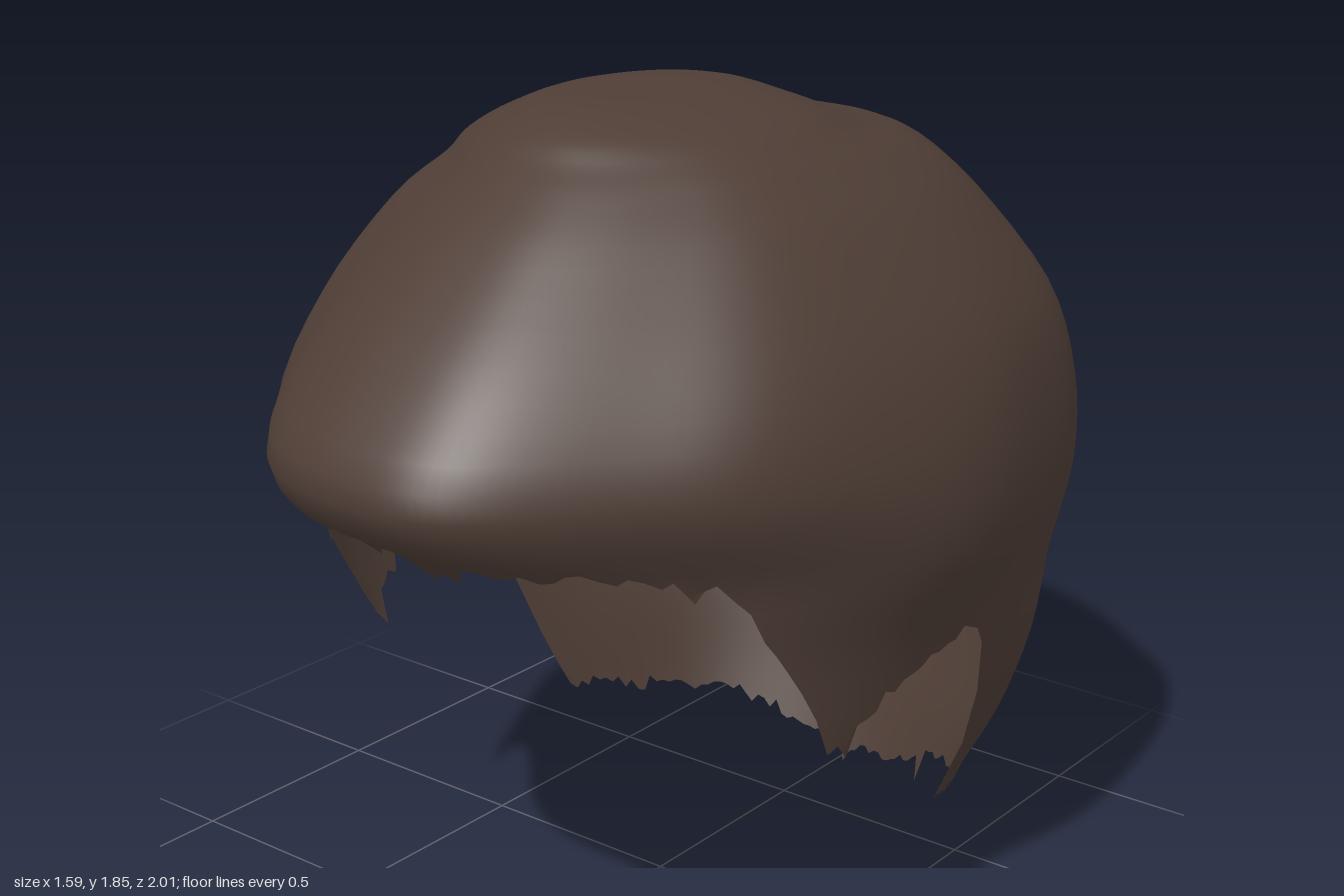
import * as THREE from 'three';

// horizontal sections from crown to nape: y, half width, front z, back z, centre z, centre x
const LEVELS = [
  [1.845, 0, 0.02, 0.02, 0.02, -0.02],
  [1.84, 0.16, 0.25, -0.2, 0.02, -0.02],
  [1.8, 0.3, 0.38, -0.32, 0, 0],
  [1.75, 0.39, 0.45, -0.46, 0, 0],
  [1.7, 0.45, 0.52, -0.66, -0.03, 0.01],
  [1.6, 0.57, 0.65, -0.79, -0.06, 0],
  [1.4, 0.72, 0.87, -0.91, -0.1, 0],
  [1.2, 0.785, 1.0, -0.97, -0.1, 0],
  [1.0, 0.79, 0.84, -1.0, -0.1, 0],
  [0.8, 0.735, 0.79, -0.98, -0.13, 0],
  [0.6, 0.68, 0.75, -0.94, -0.18, 0.015],
  [0.4, 0.61, 0.7, -0.87, -0.2, 0.025],
  [0.2, 0.53, 0.6, -0.8, -0.22, 0.01],
  [0.0, 0.48, 0.5, -0.73, -0.24, 0.02],
];

// hem height by angle from the front: fringe, sideburn, ear arch, nape
const HEM = [
  [0, 1.1], [20, 1.07], [35, 1.05], [47, 1.02], [52, 0.9], [57, 0.75], [62, 0.6],
  [70, 0.66], [78, 0.72], [90, 0.77], [94, 0.7], [97, 0.4], [100, 0.23],
  [120, 0.18], [145, 0.14], [160, 0.07], [180, 0.05],
];

// swellings and flats of the outline: angle, spread, amount
const LOBES = [[-37, 17, -0.06], [16, 11, 0.025], [42, 14, -0.03], [125, 20, 0.045]];

const bell = (v, centre, spread) => Math.exp(-(((v - centre) / spread) ** 2));

// smooth interpolation of one column of the section table
function section(s, k) {
  const n = LEVELS.length - 1;
  const i = Math.min(n - 1, Math.floor(s));
  const f = s - i;
  const at = (j) => LEVELS[Math.max(0, Math.min(n, j))][k];
  const [a, b, c, d] = [at(i - 1), at(i), at(i + 1), at(i + 2)];
  return b + 0.5 * f * (c - a + f * (2 * a - 5 * b + 4 * c - d + f * (3 * (b - c) + d - a)));
}

function levelOf(y) {
  let i = 0;
  while (i < LEVELS.length - 2 && LEVELS[i + 1][0] > y) i++;
  return i + (LEVELS[i][0] - y) / (LEVELS[i][0] - LEVELS[i + 1][0]);
}

function hemHeight(deg) {
  // the right side hangs a little further forward
  const a = deg < 0 ? Math.min(180, 4 - deg) : deg;
  let i = 0;
  while (i < HEM.length - 2 && HEM[i + 1][0] < a) i++;
  const y = THREE.MathUtils.mapLinear(a, HEM[i][0], HEM[i + 1][0], HEM[i][1], HEM[i + 1][1]);
  // and is cut slightly higher at fringe and nape
  return y + 0.05 * bell(deg, -18, 14) + 0.04 * bell(deg, -155, 12);
}

function makeRandom(seed) {
  return () => {
    seed = (seed * 16807) % 2147483647;
    return seed / 2147483647;
  };
}

function shellPoint(deg, s) {
  const theta = THREE.MathUtils.degToRad(deg);
  const c = Math.cos(theta);
  const sn = Math.sin(theta);
  const [y, w, zf, zb, zc, xc] = [0, 1, 2, 3, 4, 5].map((k) => section(s, k));
  // outline lobes, gentle lumps and a soft groove behind the left ear
  let swell = sn * sn * (0.007 * Math.sin(5 * theta + 7 * y) + 0.005 * Math.sin(9 * theta - 5 * y));
  for (const [centre, spread, amount] of LOBES) swell += amount * bell(deg, centre, spread);
  swell -= 0.025 * bell(deg, 140, 9) * bell(y, 1.45, 0.3);
  const r = 1 + Math.min(1, s / 6) * swell;
  // sideburns hang nearly straight down, so lower front sections are squarer
  const square = c > 0 ? THREE.MathUtils.clamp((1.0 - y) / 0.4, 0, 1) * 0.45 : 0;
  const side = Math.sign(sn) * Math.abs(sn) ** (1 - square);
  return [xc + w * side * r, y, zc + (c > 0 ? zf - zc : zc - zb) * c * r];
}

function hairGeometry(cols = 200, rows = 52) {
  const random = makeRandom(1234);
  const pos = [LEVELS[0][5], LEVELS[0][0], LEVELS[0][2]];
  const index = [];
  const last = LEVELS.length - 1;
  for (let i = 0; i < cols; i++) {
    const deg = (i / cols) * 360 - 180;
    // ragged strand ends: each column stops at its own height
    const spike = random() < 0.1 ? -0.05 : 0;
    const end = levelOf(Math.max(0, hemHeight(deg) + (random() - 0.5) * 0.035 + spike));
    for (let j = 1; j <= rows; j++) pos.push(...shellPoint(deg, Math.min(end, (last * j) / rows)));
  }
  const id = (i, j) => (j === 0 ? 0 : 1 + (i % cols) * rows + j - 1);
  for (let i = 0; i < cols; i++) {
    index.push(0, id(i, 1), id(i + 1, 1));
    for (let j = 1; j < rows; j++) {
      const [a, b, c, d] = [id(i, j), id(i, j + 1), id(i + 1, j + 1), id(i + 1, j)];
      index.push(a, b, c, a, c, d);
    }
  }
  const g = new THREE.BufferGeometry();
  g.setAttribute('position', new THREE.Float32BufferAttribute(pos, 3));
  g.setIndex(index);
  g.computeVertexNormals();
  return g;
}

export function createModel() {
  const group = new THREE.Group();
  group.name = 'hairpiece';
  const darkBrown = new THREE.MeshStandardMaterial({ color: 0x4f3e36, side: THREE.DoubleSide });
  darkBrown.name = 'darkBrown';
  const hair = new THREE.Mesh(hairGeometry(), darkBrown);
  hair.name = 'hairShell';
  group.add(hair);
  return group;
}
